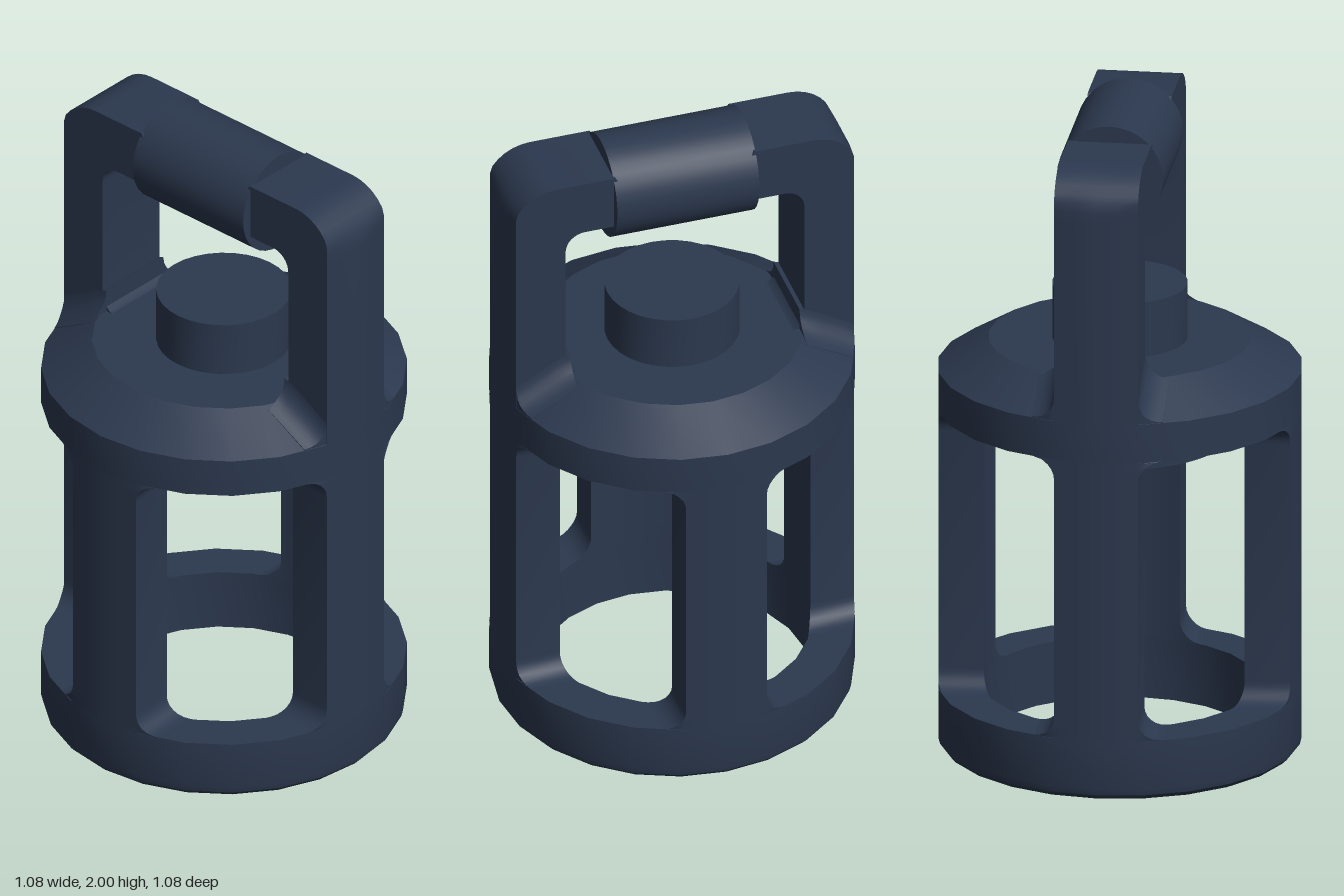
import * as THREE from 'three';
import { toCreasedNormals } from 'three/addons/utils/BufferGeometryUtils.js';

const SIDES = 24, R = 0.54, R_IN = 0.41, POST = 0.125, FILLET = 0.065;

// Height of a regular 24-sided outline of radius r above the offset x
function outline(r, x) {
  const step = (2 * Math.PI) / SIDES;
  const k = Math.floor(Math.asin(Math.min(Math.abs(x) / r, 1)) / step);
  const x0 = r * Math.sin(k * step), x1 = r * Math.sin((k + 1) * step);
  const z0 = r * Math.cos(k * step), z1 = r * Math.cos((k + 1) * step);
  return z0 + ((Math.abs(x) - x0) / (x1 - x0)) * (z1 - z0);
}

// Extra width of a concave quarter-round fillet at distance d from its foot
function fillet(d, r) {
  return d >= r ? 0 : r - Math.sqrt(r * r - (r - d) * (r - d));
}

// Closed solid through rows of cross-sections; each row has a front and a back edge
function loft(rows) {
  const pos = [], index = [];
  const n = rows[0].front.length, size = 2 * n;
  for (const { front, back } of rows) pos.push(...front.flat(), ...[...back].reverse().flat());
  for (let i = 0; i < rows.length - 1; i++) {
    for (let j = 0; j < size; j++) {
      const a = i * size + j, b = i * size + ((j + 1) % size);
      index.push(a, b, b + size, a, b + size, a + size);
    }
  }
  const last = (rows.length - 1) * size;
  for (let j = 0; j < n - 1; j++) {
    const a = j, b = j + 1, c = size - 2 - j, d = size - 1 - j;
    index.push(a, d, c, a, c, b);
    index.push(last + a, last + b, last + c, last + a, last + c, last + d);
  }
  const g = new THREE.BufferGeometry();
  g.setAttribute('position', new THREE.Float32BufferAttribute(pos, 3));
  g.setIndex(index);
  return g;
}

// Cage post whose sides flare into the rings at both ends
function postGeometry() {
  const y0 = 0.19, y1 = 1.06, ys = [];
  for (let i = 0; i <= 6; i++) ys.push(FILLET * (1 - Math.cos((i / 6) * Math.PI / 2)));
  const levels = [...ys.map(d => y0 + d), ...ys.map(d => y1 - d).reverse()];
  return loft(levels.map(y => {
    const w = POST + fillet(Math.min(y - y0, y1 - y), FILLET);
    const xs = [-w, -0.125, -0.07, 0, 0.07, 0.125, w];
    return {
      front: xs.map(x => [x, y, outline(R, x)]),
      back: xs.map(x => [x, y, outline(R_IN, x)]),
    };
  }));
}

// Fillet where a handle leg runs into the sloping shoulder
function footGeometry() {
  const r = 0.07, zs = [];
  for (let i = 0; i <= 6; i++) zs.push(POST + r * (1 - Math.cos((i / 6) * Math.PI / 2)));
  const across = [...zs.map(z => -z).reverse(), ...zs];
  const shoulder = d => 1.27 - 0.6 * Math.min(Math.max(d - 0.39, 0), 0.15);
  const rows = [];
  for (let i = 0; i <= 5; i++) {
    const front = [], back = [];
    for (const z of across) {
      const x = THREE.MathUtils.lerp(0.355, outline(R, z) - 0.001, i / 5);
      const base = shoulder(Math.hypot(x, z));
      front.push([x, base + fillet(Math.abs(z) - POST, r), z]);
      back.push([x, base - 0.03, z]);
    }
    rows.push({ front, back });
  }
  return loft(rows);
}

// Arched handle, its outer faces following the round cage
function handleGeometry() {
  const s = new THREE.Shape();
  s.moveTo(-R, 1.17);
  s.lineTo(R, 1.17);
  s.lineTo(R, 1.81);
  s.absarc(0.4, 1.81, 0.14, 0, Math.PI / 2);
  s.lineTo(0.215, 1.95);
  s.lineTo(0.2, 1.925);
  s.lineTo(-0.2, 1.925);
  s.lineTo(-0.215, 1.95);
  s.lineTo(-0.4, 1.95);
  s.absarc(-0.4, 1.81, 0.14, Math.PI / 2, Math.PI);
  s.closePath();
  const h = new THREE.Path(), f = 0.06, w = 0.37, lo = 1.265, hi = 1.775;
  h.absarc(-w + f, lo + f, f, -Math.PI / 2, -Math.PI, true);
  h.absarc(-w + f, hi - f, f, Math.PI, Math.PI / 2, true);
  h.absarc(w - f, hi - f, f, Math.PI / 2, 0, true);
  h.absarc(w - f, lo + f, f, 0, -Math.PI / 2, true);
  h.closePath();
  s.holes.push(h);
  const g = new THREE.ExtrudeGeometry(s, { depth: 2 * POST, steps: 4, bevelEnabled: false, curveSegments: 4 });
  g.translate(0, 0, -POST);
  const p = g.attributes.position;
  for (let i = 0; i < p.count; i++) {
    const limit = outline(R, p.getZ(i));
    p.setX(i, THREE.MathUtils.clamp(p.getX(i), -limit, limit));
  }
  return g;
}

export function createModel() {
  const group = new THREE.Group();
  const material = new THREE.MeshStandardMaterial({ color: 0x2b384e });

  const add = (name, geometry, angle = 0) => {
    const mesh = new THREE.Mesh(toCreasedNormals(geometry, 0.5), material);
    mesh.name = name;
    mesh.rotation.y = angle;
    group.add(mesh);
    return mesh;
  };
  const lathe = pts => new THREE.LatheGeometry(pts.map(p => new THREE.Vector2(...p)), SIDES);

  // Open base ring with a rounded lower edge
  add('baseRing', lathe([
    [R_IN, 0], [0.5, 0], [0.522, 0.006], [0.535, 0.02], [R, 0.04],
    [R, 0.19], [R_IN, 0.19], [R_IN, 0],
  ]));

  // Four posts of the cage
  for (let i = 0; i < 4; i++) add('cagePost', postGeometry(), i * Math.PI / 2);

  // Top plate with sloping shoulder, and the hollow collar hanging under it
  add('topPlate', lathe([
    [0, 1.1], [0.22, 1.1], [0.22, 1.06], [R, 1.06], [R, 1.18], [0.39, 1.27], [0, 1.27],
  ]));
  const collar = new THREE.Shape().absarc(0, 0, 0.325, 0, Math.PI * 2);
  collar.holes.push(new THREE.Path().absarc(0, 0, 0.22, 0, Math.PI * 2, true));
  const collarGeometry = new THREE.ExtrudeGeometry(collar, { depth: 0.1, bevelEnabled: false, curveSegments: 32 });
  collarGeometry.rotateX(-Math.PI / 2);
  add('innerCollar', collarGeometry).position.y = 0.965;

  // Knob on the plate
  add('knob', new THREE.CylinderGeometry(0.2, 0.2, 0.18, 32)).position.y = 1.35;

  // Handle, its feet and the round grip
  add('handle', handleGeometry());
  for (const angle of [0, Math.PI]) add('handleFoot', footGeometry(), angle);
  const grip = new THREE.CylinderGeometry(0.158, 0.158, 0.44, 32);
  grip.rotateZ(Math.PI / 2);
  add('grip', grip).position.y = 1.842;

  return group;
}
